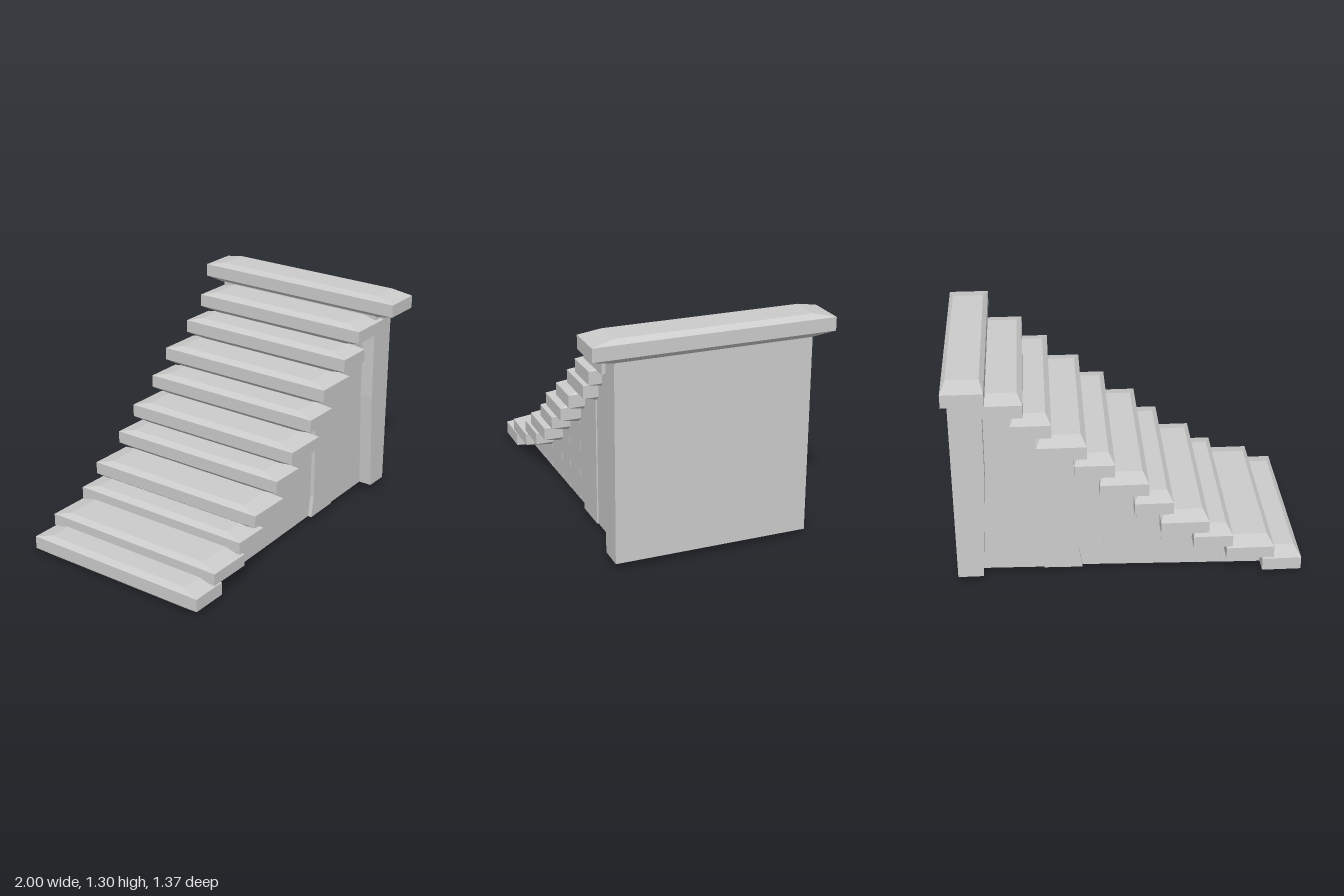
import * as THREE from 'three';

const material = new THREE.MeshStandardMaterial({ color: 0xcccccc, flatShading: true });

function addMesh(group, geometry, name) {
  const mesh = new THREE.Mesh(geometry, material);
  mesh.name = name;
  group.add(mesh);
}

// Stone slab with its top and bottom faces drawn in to form bevels
function slab(x0, x1, y0, y1, zBack, zFront, insetX, insetZ) {
  const w = x1 - x0, h = y1 - y0, d = zFront - zBack, bevel = 0.027;
  const geo = new THREE.BoxGeometry(w, h, d, 1, 3, 1);
  const p = geo.attributes.position;
  for (let i = 0; i < p.count; i++) {
    const y = p.getY(i);
    if (Math.abs(y) > h * 0.4) {
      p.setX(i, p.getX(i) * (1 - 2 * insetX / w));
      p.setZ(i, p.getZ(i) * (1 - 2 * insetZ / d));
    } else {
      p.setY(i, Math.sign(y) * (h / 2 - bevel));
    }
  }
  geo.translate((x0 + x1) / 2, (y0 + y1) / 2, (zBack + zFront) / 2);
  const flat = geo.toNonIndexed();
  flat.computeVertexNormals();
  return flat;
}

// Side profile in x and y, extruded across the width
function block(points, halfWidth) {
  const shape = new THREE.Shape(points.map(([x, y]) => new THREE.Vector2(x, y)));
  const geo = new THREE.ExtrudeGeometry(shape, { depth: halfWidth * 2, bevelEnabled: false });
  return geo.translate(0, 0, -halfWidth);
}

// Underside of the staircase rises slightly towards the tall end
const groundY = (x) => 0.01 + (x + 0.8) * 0.0205;

export function createModel() {
  const model = new THREE.Group();
  model.name = 'staircase';

  // Treads: x0, x1, y0, y1, back z, front z
  const treads = [
    [-1, -0.775, 0, 0.13, -0.585, 0.585],
    [-0.84, -0.565, 0.085, 0.21, -0.582, 0.585],
    [-0.6, -0.375, 0.165, 0.29, -0.575, 0.576],
    [-0.46, -0.185, 0.27, 0.397, -0.584, 0.58],
    [-0.255, -0.035, 0.4, 0.527, -0.578, 0.58],
    [-0.115, 0.16, 0.526, 0.655, -0.577, 0.587],
    [0.075, 0.3, 0.656, 0.785, -0.58, 0.583],
    [0.23, 0.507, 0.785, 0.915, -0.595, 0.567],
    [0.42, 0.645, 0.916, 1.046, -0.578, 0.582],
    [0.57, 0.85, 1.046, 1.175, -0.58, 0.583],
  ];
  treads.forEach((t, i) => addMesh(model, slab(...t, 0.03, 0.105), `tread${i + 1}`));

  // Landing slab overhanging the tall end
  addMesh(model, slab(0.77, 1, 1.175, 1.305, -0.685, 0.685, 0.025, 0.125), 'landingSlab');

  // Masonry under each tread, reaching to the next one
  for (let i = 1; i < treads.length; i++) {
    const [x0, , y0] = treads[i];
    const left = x0 + (i === 8 ? 0.06 : 0.05);
    const right = i < 9 ? treads[i + 1][0] + 0.06 : 0.86;
    const top = y0 + 0.04;
    const foot = i === 7 ? left - 0.02 : left;
    const points = [[foot, groundY(foot)], [right, groundY(right)], [right, top], [left, top]];
    if (i === 7) points.push([left, 0.16]);
    const half = i === 7 ? 0.488 : i > 7 ? 0.48 : 0.47 - i * 0.001;
    addMesh(model, block(points, half), `support${i + 1}`);
  }

  // Wide end wall with a tapering inner edge
  addMesh(model, block([
    [0.83, 0.042], [0.975, 0.042], [0.975, 1.2], [0.79, 1.2], [0.795, 0.65],
  ], 0.56), 'endWall');

  return model;
}
